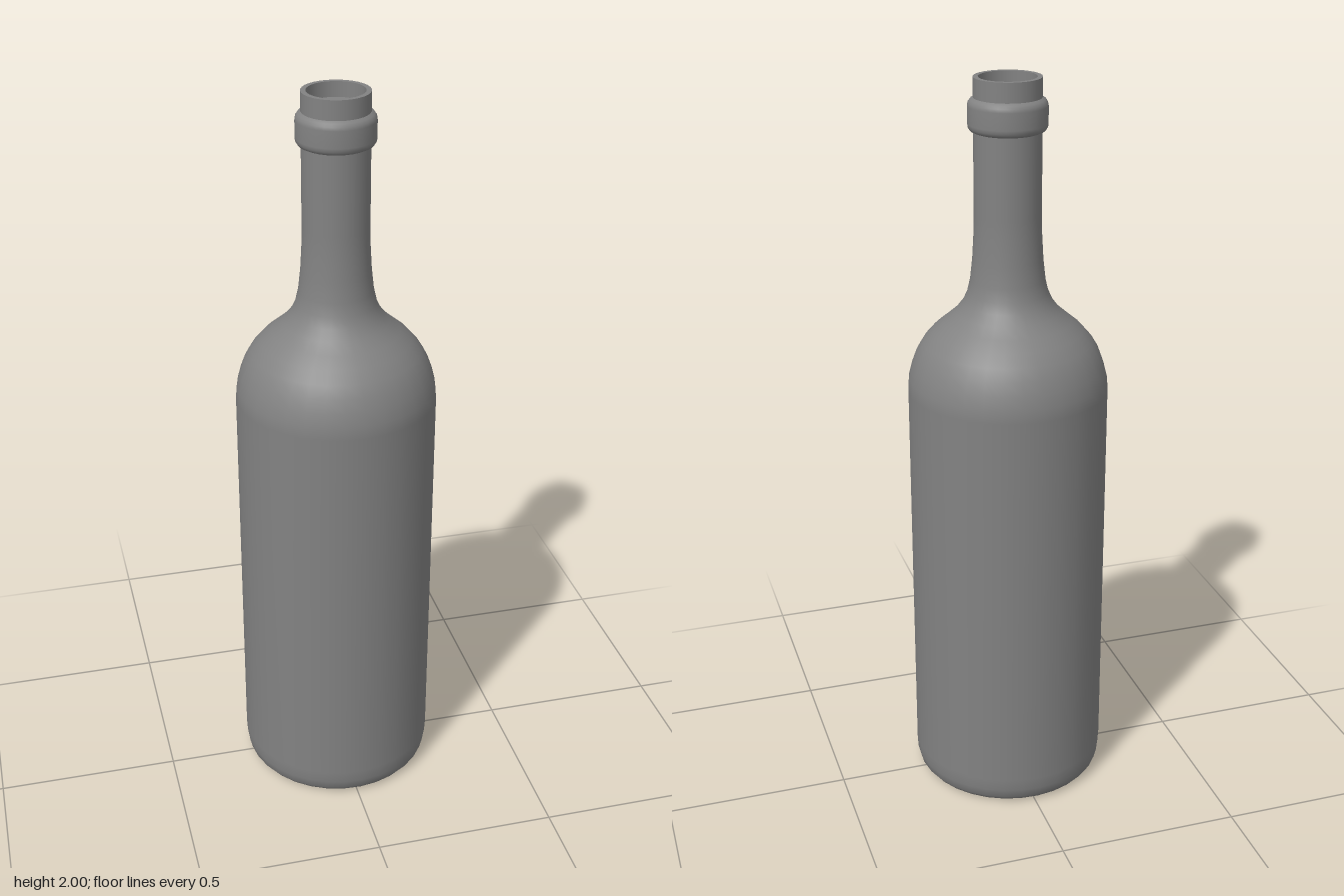
import * as THREE from 'three';

const SIDES = 32;
const TURN = 0.047; // small twist of the facets about the axis

export function createModel() {
  const group = new THREE.Group();
  group.name = 'bottle';
  const glass = new THREE.MeshStandardMaterial({ color: 0x828282, side: THREE.DoubleSide });

  // Revolves [radius, height] pairs; each part ends at a sharp edge
  const turn = (name, profile) => {
    const points = profile.map(([r, y]) => new THREE.Vector2(r, y));
    const mesh = new THREE.Mesh(new THREE.LatheGeometry(points, SIDES, TURN), glass);
    mesh.name = name;
    group.add(mesh);
  };

  // Domed hollow under the base, rounded foot, straight wall, shoulder and neck
  turn('body', [
    [0, 0.11], [0.05, 0.107], [0.1, 0.093], [0.15, 0.063], [0.185, 0.032],
    [0.206, 0.011], [0.22, 0.002], [0.235, 0], [0.25, 0.006], [0.261, 0.02],
    [0.267, 0.045], [0.269, 0.08], [0.269, 1.17], [0.266, 1.205], [0.257, 1.24],
    [0.244, 1.275], [0.226, 1.305], [0.2, 1.335], [0.17, 1.36], [0.14, 1.386],
    [0.12, 1.412], [0.107, 1.44], [0.099, 1.475], [0.093, 1.53], [0.089, 1.6],
    [0.088, 1.65], [0.088, 1.875],
  ]);

  // Raised collar below the mouth, rounded above and below
  turn('collar', [
    [0.088, 1.863], [0.097, 1.867], [0.102, 1.875], [0.103, 1.884], [0.103, 1.928],
    [0.101, 1.937], [0.096, 1.944], [0.088, 1.949],
  ]);

  // Mouth: outer wall, flat rim, inner wall and recessed stopper
  turn('mouthWall', [[0.088, 1.945], [0.088, 2]]);
  turn('mouthRim', [[0.088, 2], [0.075, 2]]);
  turn('mouthInside', [[0.075, 2], [0.075, 1.96]]);
  turn('stopper', [[0.075, 1.96], [0, 1.96]]);

  return group;
}
